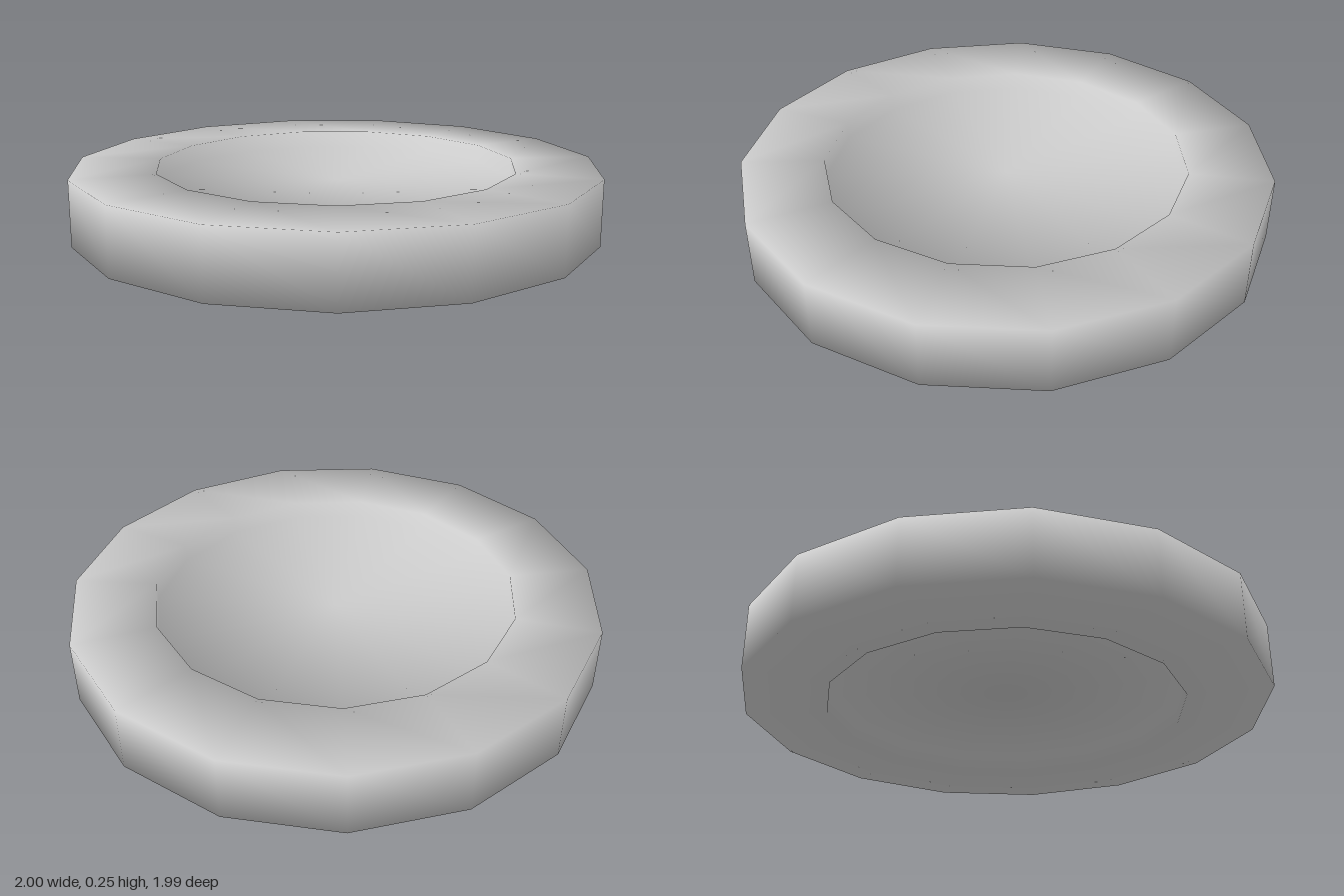
import * as THREE from 'three';

const SIDES = 15;
const OUTER = 1.0055; // circumradius giving an overall width of 2
const INNER = 0.69;
const HEIGHT = 0.25;
const INSET = 0.07;   // depth of the recess on each face

export function createModel() {
  const group = new THREE.Group();
  group.name = 'roundDish';

  // Cross-section: radius, height, then the soft normal (outward, up) of that corner
  const section = [
    [0, INSET, 0, -1],
    [INNER, INSET, -1.13, -1],
    [INNER, 0, -0.86, -1],
    [OUTER, 0, 1.13, -1],
    [OUTER, HEIGHT, 1.13, 1],
    [INNER, HEIGHT, -0.86, 1],
    [INNER, HEIGHT - INSET, -1.13, 1],
    [0, HEIGHT - INSET, 0, 1],
  ];

  // Low-poly rim and recessed floors turned in one piece, a corner pointing to the back
  const geometry = new THREE.LatheGeometry(
    section.map(([r, y]) => new THREE.Vector2(r, y)), SIDES, Math.PI);

  // Smooth shading carried round every corner of the section
  const normal = geometry.attributes.normal;
  const v = new THREE.Vector3();
  for (let i = 0; i <= SIDES; i++) {
    const a = Math.PI + (i / SIDES) * Math.PI * 2;
    section.forEach(([, , out, up], j) => {
      v.set(out * Math.sin(a), up, out * Math.cos(a)).normalize();
      normal.setXYZ(i * section.length + j, v.x, v.y, v.z);
    });
  }

  const dish = new THREE.Mesh(geometry, new THREE.MeshStandardMaterial({ color: 0xcccccc }));
  dish.name = 'rimAndFloor';
  // Centre the odd-sided outline front to back
  dish.position.z = OUTER * (1 - Math.cos(Math.PI / SIDES)) / 2;
  group.add(dish);
  return group;
}
